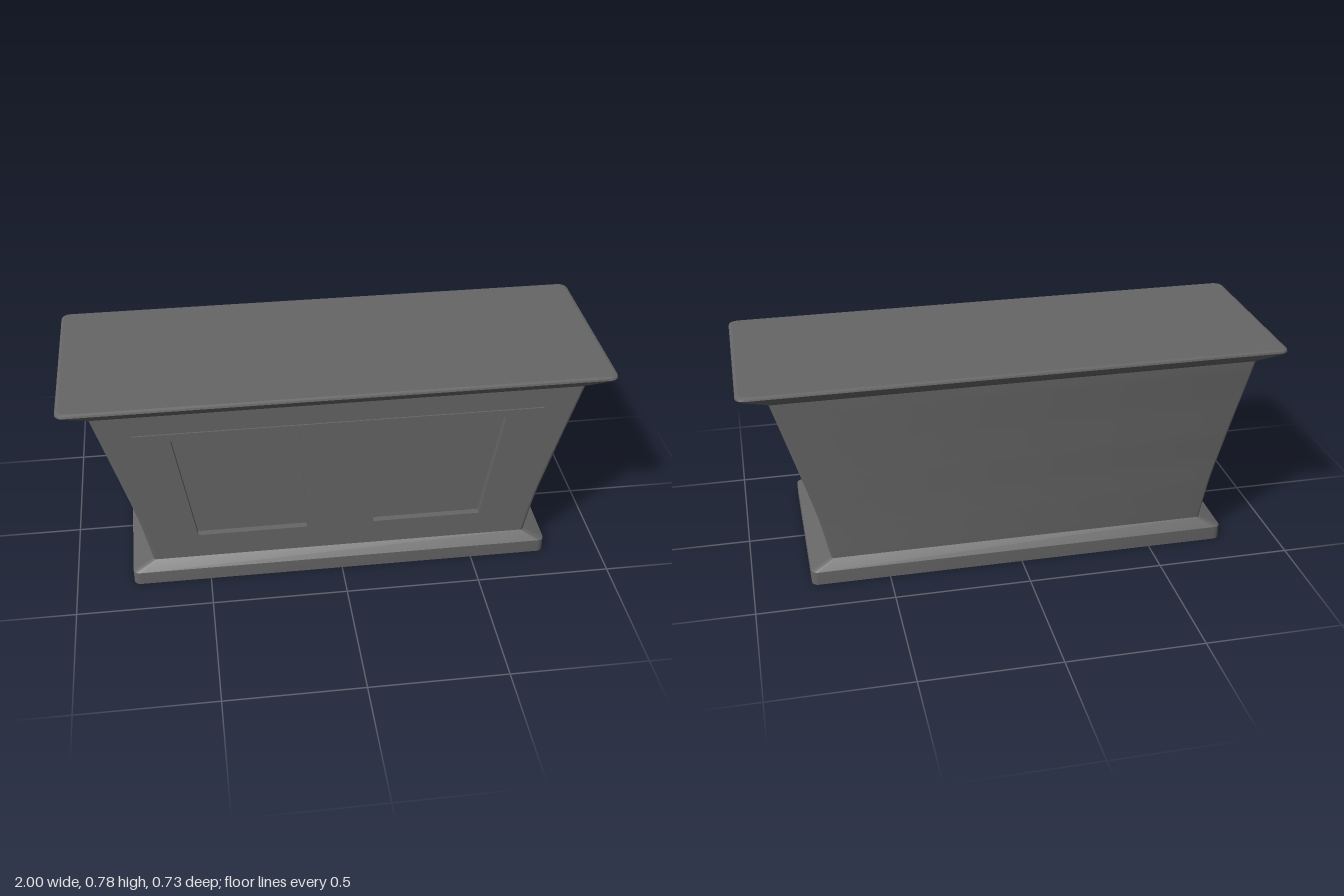
import * as THREE from 'three';
import { toCreasedNormals } from 'three/addons/utils/BufferGeometryUtils.js';

const material = new THREE.MeshStandardMaterial({ color: 0x666666, side: THREE.DoubleSide });
const ARC = 4; // segments per rounded corner

// Rounded rectangle in the xz plane, running from +x round to +z
function ring({ hx, hz, y, r }) {
  const points = [];
  const signs = [[1, 1], [-1, 1], [-1, -1], [1, -1]];
  signs.forEach(([sx, sz], corner) => {
    for (let i = 0; i <= ARC; i++) {
      const a = (corner + i / ARC) * Math.PI / 2;
      points.push([sx * (hx - r) + r * Math.cos(a), y, sz * (hz - r) + r * Math.sin(a)]);
    }
  });
  return points;
}

// Skin over a stack of rings; the front strip can be left out
function loft(levels, openFront = false) {
  const rings = levels.map(ring);
  const n = rings[0].length;
  const pos = [];
  for (let k = 0; k < rings.length - 1; k++) {
    for (let i = 0; i < n; i++) {
      if (openFront && i === ARC) continue;
      const j = (i + 1) % n;
      const a = rings[k][i], b = rings[k][j], c = rings[k + 1][j], d = rings[k + 1][i];
      pos.push(...a, ...d, ...b, ...b, ...d, ...c);
    }
  }
  const geometry = new THREE.BufferGeometry();
  geometry.setAttribute('position', new THREE.Float32BufferAttribute(pos, 3));
  geometry.computeVertexNormals();
  return toCreasedNormals(geometry, 0.5);
}

const toVectors = (points) => points.map(([x, y]) => new THREE.Vector2(x, y));
// Closed outline from its right-hand side, listed bottom to top
const mirrored = (side) => toVectors([...side, ...side.map(([x, y]) => [-x, y]).reverse()]);

// Flat horizontal sheet filling one ring, facing up (1) or down (-1)
function sheet(level, facing) {
  const shape = new THREE.Shape(toVectors(ring(level).map(([x, , z]) => [x, z])));
  return new THREE.ShapeGeometry(shape).rotateX(-facing * Math.PI / 2).translate(0, level.y, 0);
}

export function createModel() {
  const group = new THREE.Group();
  const add = (name, geometry, z = 0) => {
    const mesh = new THREE.Mesh(geometry, material);
    mesh.name = name;
    mesh.position.z = z;
    group.add(mesh);
  };

  // Plinth: upright band and sloped shoulder, open underneath
  add('plinth', loft([
    { hx: 0.788, hz: 0.36, y: 0, r: 0.025 },
    { hx: 0.788, hz: 0.36, y: 0.052, r: 0.025 },
    { hx: 0.71, hz: 0.328, y: 0.087, r: 0.012 },
  ]));

  // Body: ends flare outward on a gentle curve
  const flare = new THREE.SplineCurve(toVectors([
    [0.71, 0.087], [0.748, 0.26], [0.81, 0.47], [0.89, 0.73],
  ])).getPoints(12);
  const r = 0.012, frontZ = 0.328;
  add('body', loft(flare.map((p) => ({ hx: p.x, hz: frontZ, y: p.y, r })), true));

  // Raised frame on the front, with two sunken panels
  const frameSide = [[0.63, 0.152], [0.655, 0.28], [0.745, 0.65]];
  const panel = [[0.125, 0.19], [0.532, 0.19], [0.607, 0.62], [0.145, 0.62]];
  const panels = [1, -1].map((s) => toVectors(panel.map(([x, y]) => [s * x - 0.005, y])));
  const depth = 0.025;

  const front = new THREE.Shape(mirrored(flare.map((p) => [p.x - r, p.y])));
  front.holes.push(new THREE.Path(mirrored(frameSide)));
  add('frontFace', new THREE.ShapeGeometry(front), frontZ);

  const frame = new THREE.Shape(mirrored(frameSide));
  panels.forEach((points) => frame.holes.push(new THREE.Path(points)));
  const frameZ = 0.333 - depth;
  add('frontFrame', new THREE.ExtrudeGeometry(frame, { depth, bevelEnabled: false }), frameZ);
  panels.forEach((points, i) => {
    add(i ? 'rightPanel' : 'leftPanel', new THREE.ShapeGeometry(new THREE.Shape(points)), frameZ);
  });

  // Hollow underneath: walls lean inward up to the bottom board
  const board = { hx: 0.655, hz: 0.322, y: 0.147, r: 0.012 };
  add('bottomRecess', loft([board, { hx: 0.71, hz: 0.327, y: 0.087, r: 0.012 }]));
  add('bottomBoard', sheet(board, -1));

  // Top: moulding flares out from the body to a thin rounded edge
  const topEdge = { hx: 0.988, hz: 0.353, y: 0.777, r: 0.03 };
  add('topMoulding', loft([
    { hx: 0.89, hz: 0.328, y: 0.728, r: 0.012 },
    { hx: 0.995, hz: 0.36, y: 0.76, r: 0.03 },
    { hx: 1.0, hz: 0.364, y: 0.766, r: 0.032 },
    { hx: 0.998, hz: 0.362, y: 0.773, r: 0.032 },
    topEdge,
  ]));
  add('tabletop', sheet(topEdge, 1));

  return group;
}
